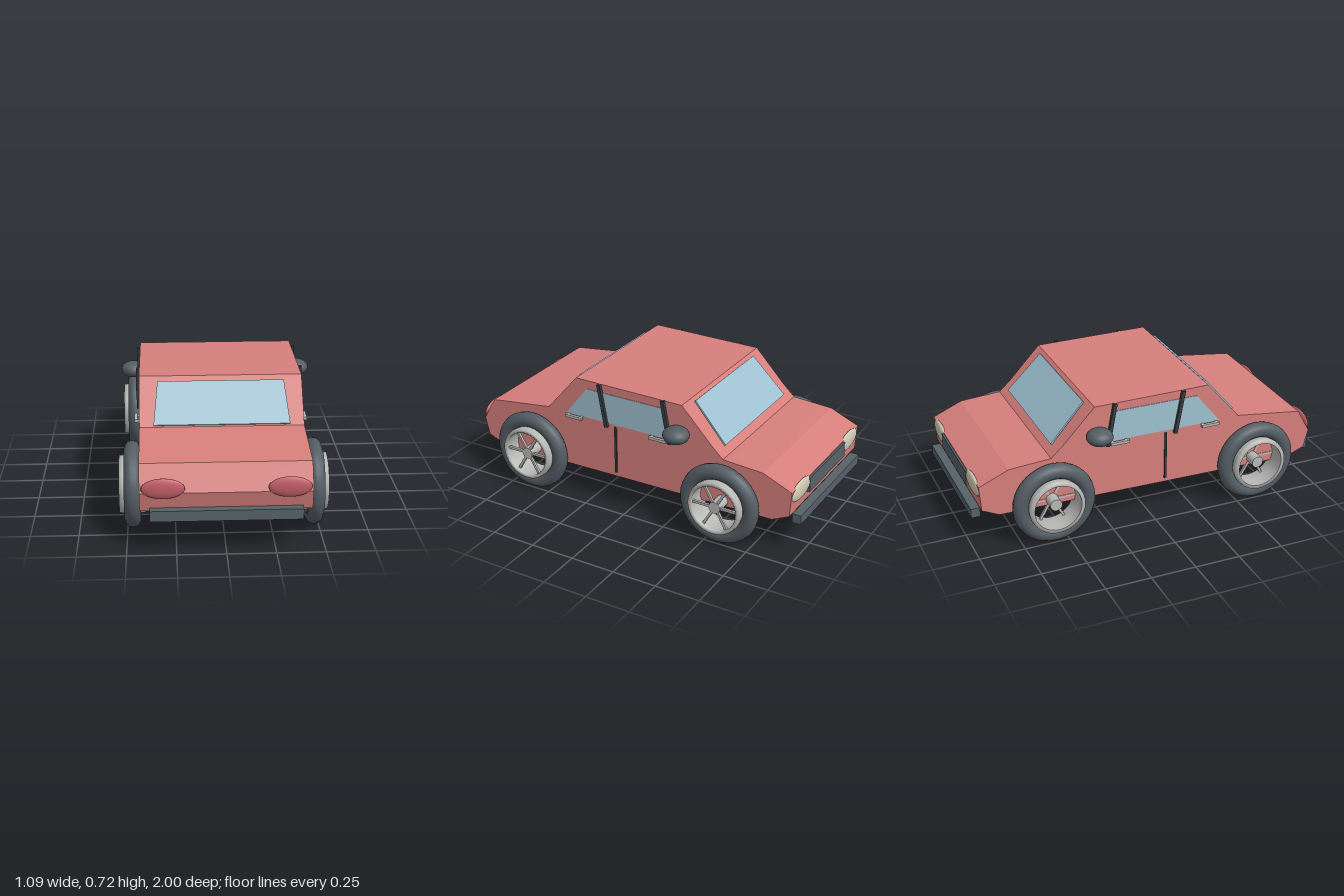
import * as THREE from 'three';

const mat = (name, color, extra = {}) => {
  const m = new THREE.MeshStandardMaterial({ color, ...extra });
  m.name = name;
  return m;
};

export function createModel() {
  const paint = mat('body paint', 0xd67f7c);
  const glass = mat('window glass', 0x9fc1d1);
  const rubber = mat('tyre rubber', 0x535d64);
  const trim = mat('bumper grey', 0x566268);
  const black = mat('dark trim', 0x363c40);
  const metal = mat('wheel metal', 0xb8b8b6, { side: THREE.DoubleSide });
  const red = mat('tail light red', 0xc45f69);
  const cream = mat('headlight cream', 0xd0c9b3);

  const car = new THREE.Group();
  car.name = 'car';
  const add = (name, geo, material, x = 0, y = 0, z = 0, parent = car) => {
    const mesh = new THREE.Mesh(geo, material);
    mesh.name = name;
    mesh.position.set(x, y, z);
    parent.add(mesh);
    return mesh;
  };
  const box = (w, h, d) => new THREE.BoxGeometry(w, h, d);
  const ellipsoid = (rx, ry, rz) => new THREE.SphereGeometry(1, 24, 16).scale(rx, ry, rz);

  // Side profile given as [z, y], extruded across x and centred
  const extrudeSide = (points, width) => {
    const shape = new THREE.Shape(points.map(p => new THREE.Vector2(...p)));
    return new THREE.ExtrudeGeometry(shape, { depth: width, bevelEnabled: false })
      .translate(0, 0, -width / 2).rotateY(-Math.PI / 2);
  };

  // Body shell
  add('body', extrudeSide([
    [0.84, 0.18], [0.95, 0.222], [0.975, 0.325], [0.9, 0.456], [0.52, 0.505],
    [0.33, 0.725], [-0.325, 0.72], [-0.5, 0.535], [-0.57, 0.47], [-0.8, 0.455],
    [-0.965, 0.385], [-0.955, 0.245], [-0.86, 0.2],
  ], 0.864), paint);

  // Front and rear glass: thin trapezoids leaned onto the cabin slopes
  const screen = (name, zTop, yTop, zBase, yBase, halfTop, halfBase) => {
    const dir = Math.sign(zBase);
    const dz = Math.abs(zBase - zTop), dy = yTop - yBase, len = Math.hypot(dz, dy);
    const shape = new THREE.Shape([
      new THREE.Vector2(-halfBase, 0), new THREE.Vector2(halfBase, 0),
      new THREE.Vector2(halfTop, len), new THREE.Vector2(-halfTop, len),
    ]);
    const geo = new THREE.ExtrudeGeometry(shape, { depth: 0.009, bevelEnabled: false })
      .rotateX(-Math.atan2(dz, dy));
    if (dir < 0) geo.rotateY(Math.PI);
    add(name, geo, glass, 0, yBase, zBase);
  };
  screen('rearWindow', 0.355, 0.7, 0.517, 0.512, 0.335, 0.358);
  screen('windshield', -0.345, 0.707, -0.537, 0.505, 0.333, 0.353);

  // Bumpers and grille
  add('rearBumper', box(0.765, 0.056, 0.05), trim, 0, 0.212, 0.975);
  add('frontBumper', box(0.765, 0.052, 0.05), trim, 0, 0.21, -0.975);
  add('grille', box(0.46, 0.085, 0.03), trim, 0, 0.335, -0.96);

  // Paired details on both flanks
  for (const s of [1, -1]) {
    add('tailLight', ellipsoid(0.109, 0.054, 0.019), red, s * 0.315, 0.35, 0.975);
    add('headlight', ellipsoid(0.115, 0.052, 0.018), cream, s * 0.31, 0.35, -0.96);
    add('mirror', ellipsoid(0.07, 0.046, 0.072), black, s * 0.475, 0.565, -0.315).material = rubber;

    add('sideWindow', extrudeSide(
      [[0.4, 0.503], [-0.257, 0.503], [-0.222, 0.675], [0.262, 0.675]].reverse(), 0.006),
    glass, s * 0.432);

    for (const z of [0.157, -0.235]) {
      const pillar = add('pillar', box(0.02, 0.245, 0.02), black, s * 0.44, 0.602, z);
      pillar.rotation.x = 0.18;
    }
    add('doorSeam', box(0.012, 0.275, 0.012), black, s * 0.434, 0.352, 0.082);

    for (const z of [0.34, -0.19]) {
      const handle = new THREE.Group();
      handle.name = 'doorHandle';
      handle.position.set(s * 0.452, 0.495, z);
      add('grip', box(0.016, 0.016, 0.105), metal, 0, 0, 0, handle);
      for (const e of [1, -1]) {
        add('post', box(0.026, 0.012, 0.012), metal, -s * 0.012, 0, e * 0.04, handle);
      }
      car.add(handle);
    }
  }

  // Wheels: axle along x, spokes set toward the +x side of every rim
  const tyreGeo = new THREE.TorusGeometry(0.185, 0.043, 14, 36).rotateY(Math.PI / 2);
  const rimGeo = new THREE.LatheGeometry([
    [0.13, -0.068], [0.15, -0.068], [0.153, -0.045], [0.146, 0], [0.153, 0.045],
    [0.15, 0.068], [0.13, 0.068], [0.134, 0], [0.13, -0.068],
  ].map(p => new THREE.Vector2(...p)), 36).rotateZ(-Math.PI / 2);
  const hubGeo = new THREE.CylinderGeometry(0.033, 0.033, 0.09, 20).rotateZ(Math.PI / 2);
  const spokeGeo = box(0.014, 0.13, 0.014).translate(0, 0.075, 0);

  for (const x of [0.471, -0.471]) {
    for (const z of [0.615, -0.573]) {
      const wheel = new THREE.Group();
      wheel.name = 'wheel';
      wheel.position.set(x, 0.23, z);
      add('tyre', tyreGeo, rubber, 0, 0, 0, wheel);
      add('rim', rimGeo, metal, 0, 0, 0, wheel);
      add('hub', hubGeo, metal, 0.01, 0, 0, wheel);
      for (let i = 0; i < 6; i++) {
        const spoke = add('spoke', spokeGeo, metal, 0.043, 0, 0, wheel);
        spoke.rotation.x = Math.PI / 2 + i * Math.PI / 3;
      }
      car.add(wheel);
    }
  }
  return car;
}
